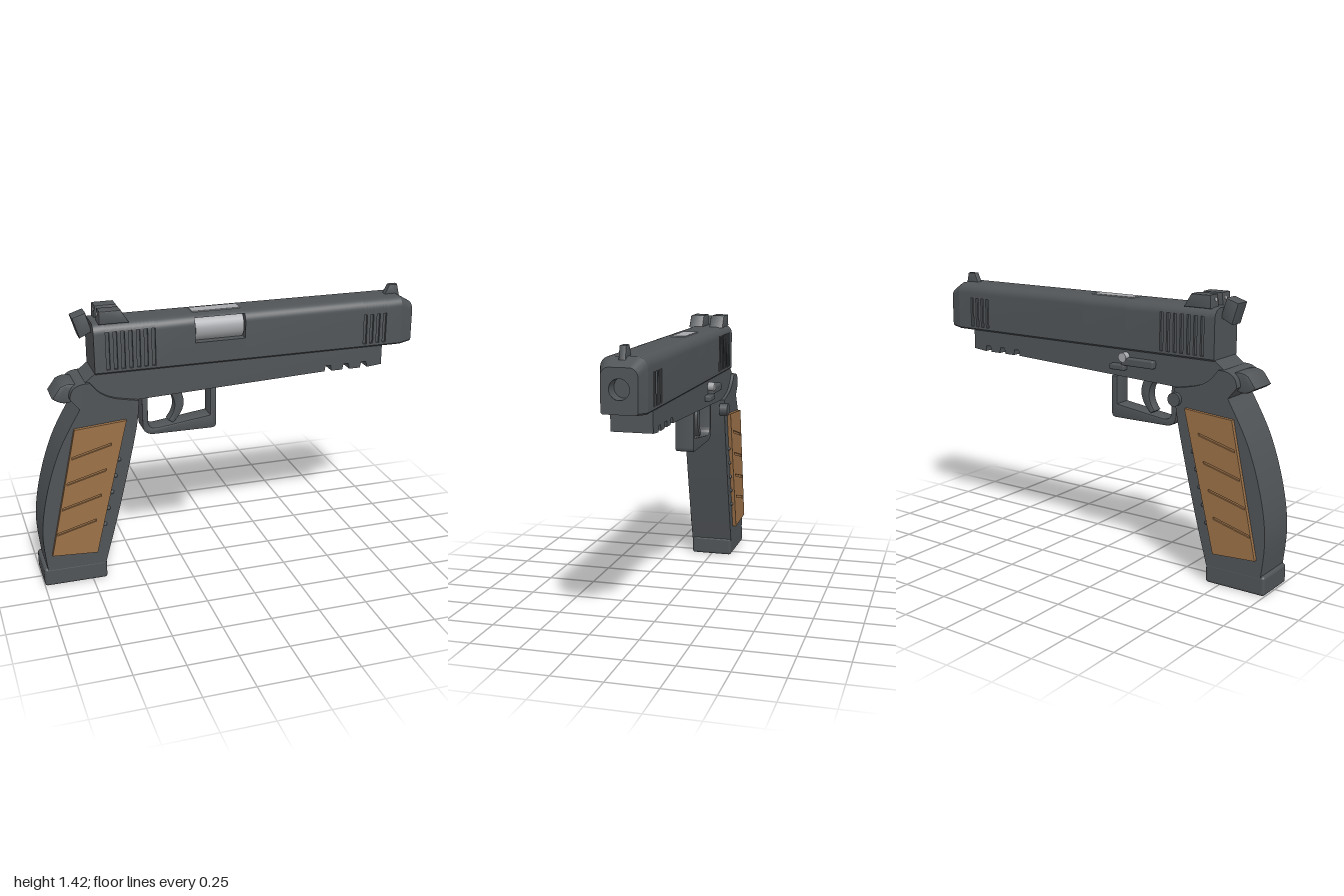
import * as THREE from 'three';
import { toCreasedNormals } from 'three/addons/utils/BufferGeometryUtils.js';
import { RoundedBoxGeometry } from 'three/addons/geometries/RoundedBoxGeometry.js';

const material = (name, color, side = THREE.FrontSide) =>
  Object.assign(new THREE.MeshStandardMaterial({ color, side }), { name });

export function createModel() {
  const model = new THREE.Group();
  const steel = material('gunmetal', 0x505457, THREE.DoubleSide);
  const silver = material('silver', 0xa6a8ab);
  const wood = material('brown wood', 0x9b7148);
  const white = material('white', 0xe8e8e8);

  const add = (name, geometry, mat, x = 0, y = 0, z = 0) => {
    const mesh = new THREE.Mesh(geometry, mat);
    mesh.name = name;
    mesh.position.set(x, y, z);
    model.add(mesh);
    return mesh;
  };
  const polygon = (points) => new THREE.Shape(points.map(([x, y]) => new THREE.Vector2(x, y)));

  // side profile extruded across the width, with a small bevel inside the outline
  const plate = (name, shape, z0, z1, mat = steel, bevel = 0) => {
    const g = new THREE.ExtrudeGeometry(shape, {
      depth: z1 - z0 - 2 * bevel, curveSegments: 10, bevelEnabled: bevel > 0,
      bevelThickness: bevel, bevelSize: bevel, bevelOffset: -bevel, bevelSegments: 2,
    });
    g.translate(0, 0, z0 + bevel);
    return add(name, toCreasedNormals(g, 0.6), mat);
  };

  // ---- slide: cross-sections along x, notched where there are cuts ----
  const W = 0.108, Y0 = 1.11, Y1 = 1.36, R = 0.05;
  const halfSection = (w, y0, y1, r, notch) => {
    const arc = [];
    for (let i = 0; i <= 8; i++) {
      const a = (i / 8) * Math.PI / 2;
      arc.push([w - r + r * Math.cos(a), y1 - r + r * Math.sin(a)]);
    }
    if (!notch) return [[w - 0.008, y0], [w, y0 + 0.008], ...arc];
    const [a, b, depth] = notch;
    const up = Math.max(0, b - (y1 - r));
    const edge = w - r + Math.sqrt(r * r - up * up);
    return [[w - 0.008, y0], [w, y0 + 0.008], [w, a], [w - depth, a], [w - depth, b], [edge, b],
      ...arc.filter((p) => p[1] > b + 0.001)];
  };
  // local x is -z of the model
  const section = (plus, minus) => [...minus, ...plus.map(([z, y]) => [-z, y]).reverse()];
  const plain = halfSection(W, Y0, Y1, R);
  const cuts = [];
  for (let i = 0; i < 7; i++) cuts.push([-0.632 + i * 0.038, 0.018, [1.13, 1.32, 0.012], true]);
  cuts.push([-0.185, 0.26, [1.225, 1.347, 0.05], false]);
  for (let i = 0; i < 4; i++) cuts.push([0.718 + i * 0.036, 0.018, [1.13, 1.285, 0.012], true]);
  const slidePiece = (x0, x1, plus, minus) => {
    const g = new THREE.ExtrudeGeometry(polygon(section(plus, minus)), { depth: x1 - x0, bevelEnabled: false });
    g.rotateY(Math.PI / 2).translate(x0, 0, 0);
    add('slide', toCreasedNormals(g, 0.6), steel);
  };
  let from = -0.69;
  for (const [x, width, notch, bothSides] of cuts) {
    slidePiece(from, x, plain, plain);
    const cut = halfSection(W, Y0, Y1, R, notch);
    slidePiece(x, x + width, cut, bothSides ? cut : plain);
    from = x + width;
  }
  slidePiece(from, 0.93, plain, plain);

  // tapered nose with an open bore
  const noseHalf = halfSection(0.085, 1.115, 1.32, 0.04);
  const ringA = section(plain, plain), ringB = section(noseHalf, noseHalf);
  const pos = [];
  const at = (ring, i, x) => [x, ring[i][1], -ring[i][0]];
  for (let i = 0; i < ringA.length; i++) {
    const j = (i + 1) % ringA.length;
    const a = at(ringA, i, 0.93), b = at(ringA, j, 0.93), c = at(ringB, j, 1), d = at(ringB, i, 1);
    pos.push(...a, ...b, ...c, ...a, ...c, ...d);
  }
  const nose = new THREE.BufferGeometry();
  nose.setAttribute('position', new THREE.Float32BufferAttribute(pos, 3));
  add('slideNose', toCreasedNormals(nose, 0.6), steel);
  const face = polygon(ringB);
  face.holes.push(new THREE.Path().absarc(0, 1.225, 0.047, 0, Math.PI * 2, true));
  add('muzzleFace', new THREE.ShapeGeometry(face, 24).rotateY(Math.PI / 2), steel, 1);
  add('bore', new THREE.CylinderGeometry(0.047, 0.047, 0.07, 28, 1, true).rotateZ(Math.PI / 2), steel, 0.965, 1.225);

  // barrel seen through the port, and its hood on top
  add('barrel', new THREE.CylinderGeometry(0.069, 0.069, 0.25, 32).rotateZ(Math.PI / 2), silver, -0.055, 1.285, 0.03);
  add('barrelHood', new THREE.BoxGeometry(0.25, 0.008, 0.075), silver, -0.055, 1.361, -0.003);

  // ---- sights and hammer ----
  const rear = [[-0.66, 1.355], [-0.655, 1.42], [-0.55, 1.42], [-0.51, 1.355]];
  for (const s of [-1, 1]) {
    plate('rearSight', polygon(rear), s > 0 ? 0.019 : -0.095, s > 0 ? 0.095 : -0.019, steel, 0.006);
    add('sightDot', new THREE.CylinderGeometry(0.009, 0.009, 0.006, 12).rotateZ(Math.PI / 2), white, -0.658, 1.395, s * 0.045);
  }
  plate('frontSight', polygon([[0.87, 1.355], [0.895, 1.408], [0.94, 1.408], [0.955, 1.345]]), -0.016, 0.016, steel, 0.004);
  plate('hammer', polygon([[-0.778, 1.385], [-0.712, 1.407], [-0.682, 1.31], [-0.745, 1.28]]), -0.045, 0.045, steel, 0.008);

  // ---- frame with accessory rail ----
  const frame = [[-0.69, 1.115], [-0.74, 1.075], [-0.74, 1.0], [-0.48, 0.96], [0.5, 1.0]];
  for (const x of [0.51, 0.61, 0.71]) {
    frame.push([x, 1.0], [x + 0.006, 1.03], [x + 0.034, 1.03], [x + 0.04, 1.0]);
  }
  frame.push([0.83, 1.008], [0.83, 1.115]);
  plate('frame', polygon(frame), -0.1, 0.1);

  // ---- grip ----
  const grip = new THREE.Shape();
  grip.moveTo(-0.72, 1.075);
  grip.splineThru([[-0.67, 1.02], [-0.6, 0.985], [-0.48, 0.96]].map((p) => new THREE.Vector2(...p)));
  grip.splineThru([[-0.5, 0.8], [-0.59, 0.42], [-0.68, 0.09]].map((p) => new THREE.Vector2(...p)));
  grip.lineTo(-0.98, 0.09);
  grip.splineThru([[-0.995, 0.3], [-0.96, 0.52], [-0.885, 0.745], [-0.775, 0.945]].map((p) => new THREE.Vector2(...p)));
  grip.lineTo(-0.82, 1.0);
  grip.quadraticCurveTo(-0.82, 1.08, -0.72, 1.075);
  plate('grip', grip, -0.117, 0.117);
  add('basePad', new RoundedBoxGeometry(0.325, 0.1, 0.234, 3, 0.015), steel, -0.8375, 0.05);
  const tang = new THREE.Shape();
  tang.moveTo(-0.9, 1.0);
  tang.lineTo(-0.86, 1.055);
  tang.quadraticCurveTo(-0.82, 1.08, -0.77, 1.06);
  tang.lineTo(-0.79, 0.985);
  tang.quadraticCurveTo(-0.84, 0.95, -0.9, 1.0);
  plate('beavertail', tang, -0.08, 0.08, steel, 0.008);

  // wooden panels: solid backing, grooved face
  const panel = [[-0.81, 0.85], [-0.55, 0.87], [-0.725, 0.165], [-0.955, 0.18]];
  const grooved = polygon(panel);
  for (let i = 0; i < 4; i++) {
    const x = -0.832 - i * 0.031, y = 0.695 - i * 0.135;
    grooved.holes.push(new THREE.Path([[x, y], [x + 0.2, y + 0.053], [x + 0.202, y + 0.066], [x + 0.003, y + 0.013]]
      .map((p) => new THREE.Vector2(...p))));
  }
  for (const s of [-1, 1]) {
    const span = (a, b) => (s > 0 ? [a, b] : [-b, -a]);
    plate('gripPanelBack', polygon(panel), ...span(0.11, 0.128), wood);
    plate('gripPanel', grooved, ...span(0.128, 0.137), wood);
    for (let i = 0; i < 5; i++) {
      add('gripStud', new THREE.SphereGeometry(0.011, 10, 8), steel, -0.592 - i * 0.0215, 0.66 - i * 0.087, s * 0.117);
    }
  }

  // ---- trigger guard and trigger ----
  const guard = new THREE.Shape();
  guard.moveTo(-0.45, 0.957);
  guard.lineTo(-0.45, 0.8);
  guard.quadraticCurveTo(-0.45, 0.745, -0.39, 0.742);
  guard.lineTo(-0.085, 0.74);
  guard.quadraticCurveTo(-0.06, 0.74, -0.06, 0.765);
  guard.lineTo(-0.06, 0.957);
  guard.lineTo(-0.093, 0.957);
  guard.lineTo(-0.093, 0.812);
  guard.lineTo(-0.375, 0.775);
  guard.quadraticCurveTo(-0.42, 0.775, -0.42, 0.815);
  guard.lineTo(-0.42, 0.957);
  plate('triggerGuard', guard, -0.05, 0.05, steel, 0.006);
  const trigger = new THREE.Shape();
  trigger.moveTo(-0.31, 0.965);
  trigger.quadraticCurveTo(-0.24, 0.88, -0.31, 0.8);
  trigger.lineTo(-0.285, 0.785);
  trigger.quadraticCurveTo(-0.19, 0.87, -0.25, 0.965);
  plate('trigger', trigger, -0.028, 0.028, steel, 0.004);

  // ---- controls on the right side ----
  const zCylinder = (r, h) => new THREE.CylinderGeometry(r, r, h, 24).rotateX(Math.PI / 2);
  add('slideStop', new RoundedBoxGeometry(0.19, 0.04, 0.04, 2, 0.008), steel, -0.265, 1.055, -0.11);
  add('slideStopTab', new RoundedBoxGeometry(0.09, 0.03, 0.04, 2, 0.008), steel, -0.145, 1.023, -0.112);
  add('slideStopPin', zCylinder(0.023, 0.045), silver, -0.182, 1.077, -0.112);
  add('magazineRelease', zCylinder(0.034, 0.045), steel, -0.488, 0.905, -0.115);

  return model;
}
